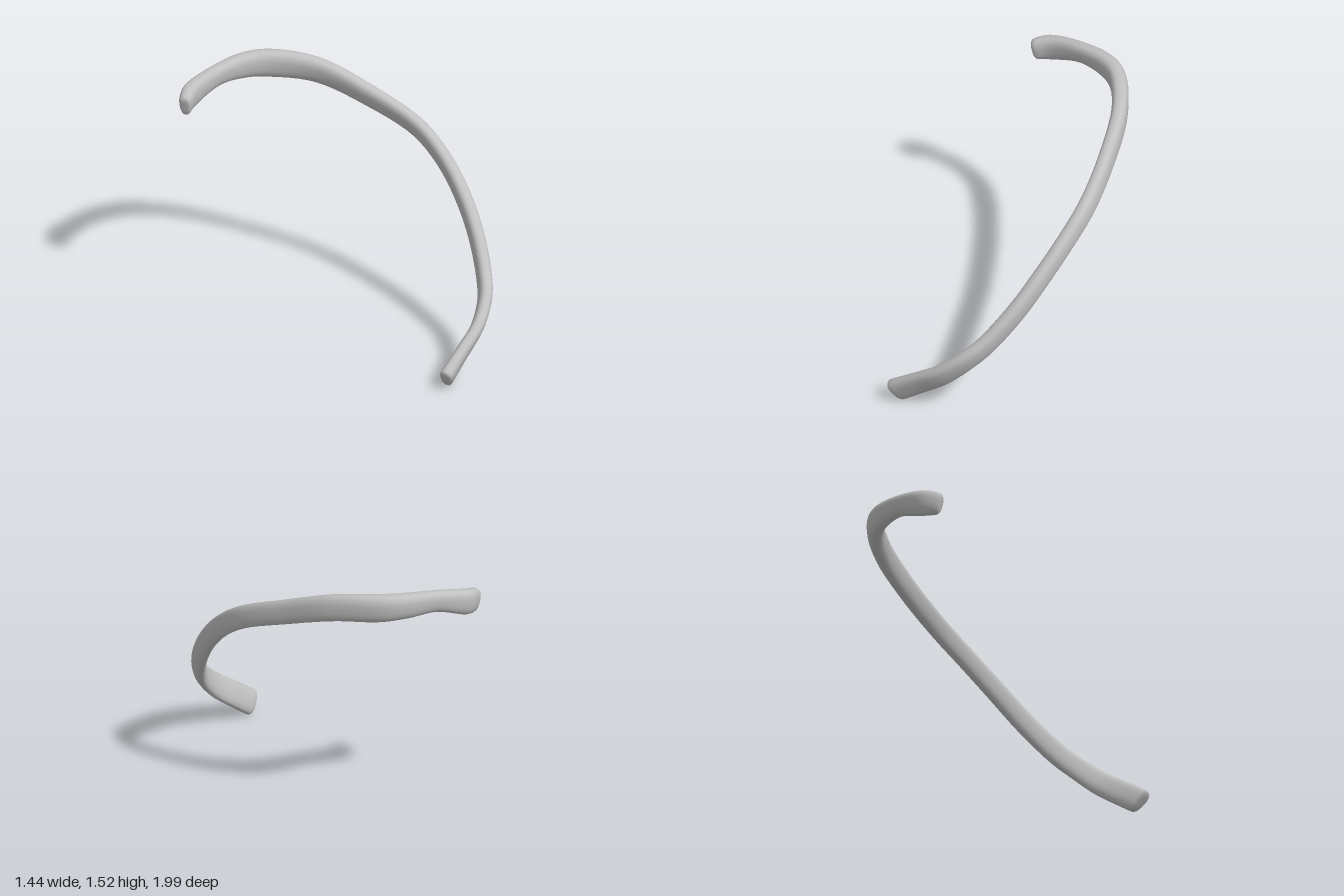
import * as THREE from 'three';

// Stations along the bone: x, y, z, height, thickness, tilt of the height axis (degrees)
const stations = [
  [-0.69, 1.37, -0.775, 0.14, 0.075, 0],
  [-0.61, 1.395, -0.85, 0.16, 0.095, 0],
  [-0.4, 1.452, -0.912, 0.135, 0.09, 0],
  [-0.2, 1.46, -0.942, 0.16, 0.1, 0],
  [-0.05, 1.453, -0.915, 0.175, 0.105, 0],
  [0.2, 1.42, -0.75, 0.165, 0.095, 8],
  [0.42, 1.31, -0.48, 0.15, 0.085, 18],
  [0.59, 1.185, -0.2, 0.14, 0.08, 28],
  [0.652, 1.06, 0, 0.135, 0.082, 32],
  [0.677, 0.9, 0.2, 0.135, 0.084, 36],
  [0.67, 0.71, 0.4, 0.14, 0.084, 38],
  [0.62, 0.515, 0.6, 0.145, 0.082, 38],
  [0.57, 0.425, 0.7, 0.15, 0.08, 36],
  [0.46, 0.3, 0.805, 0.16, 0.08, 32],
  [0.31, 0.185, 0.88, 0.165, 0.08, 26],
  [0.175, 0.085, 0.945, 0.165, 0.085, 20],
];

const SIDES = 28;
const STEPS = 150;

function sweepGeometry() {
  const path = new THREE.CatmullRomCurve3(stations.map((s) => new THREE.Vector3(s[0], s[1], s[2])));
  const form = new THREE.CatmullRomCurve3(stations.map((s) => new THREE.Vector3(s[3], s[4], s[5] / 100)));

  // Rings as [position along path, scale, push along tangent]; the ends close with rounded rims
  const rim = [[0, 0.004], [0.45, 0.005], [0.75, 0.003], [0.91, -0.004], [0.98, -0.014]];
  const rings = rim.map(([scale, push]) => [0, scale, -push]);
  for (let i = 2; i <= STEPS - 2; i++) rings.push([i / STEPS, 1, 0]);
  rim.slice().reverse().forEach(([scale, push]) => rings.push([1, scale, push]));

  const positions = [];
  const indices = [];
  const soften = (v) => Math.sign(v) * Math.pow(Math.abs(v), 0.82);
  rings.forEach(([u, scale, push], i) => {
    const tangent = path.getTangent(u);
    const centre = path.getPoint(u).addScaledVector(tangent, push);
    const size = form.getPoint(u);
    const tilt = THREE.MathUtils.degToRad(size.z * 100);
    const up = new THREE.Vector3(0, Math.cos(tilt), Math.sin(tilt));
    up.addScaledVector(tangent, -up.dot(tangent)).normalize();
    const out = new THREE.Vector3().crossVectors(up, tangent);
    for (let j = 0; j < SIDES; j++) {
      const angle = (j / SIDES) * Math.PI * 2;
      const v = soften(Math.sin(angle));
      // Thicker upper edge, thinner lower edge, flatter inner face
      const c = soften(Math.cos(angle)) * (1 + 0.15 * v);
      const p = centre.clone()
        .addScaledVector(out, c * size.y * 0.5 * scale)
        .addScaledVector(up, v * size.x * 0.5 * scale);
      positions.push(p.x, p.y, p.z);
      if (i < rings.length - 1) {
        const k = (j + 1) % SIDES;
        const a = i * SIDES + j, b = i * SIDES + k;
        indices.push(a, b, b + SIDES, a, b + SIDES, a + SIDES);
      }
    }
  });

  const geometry = new THREE.BufferGeometry();
  geometry.setAttribute('position', new THREE.Float32BufferAttribute(positions, 3));
  geometry.setIndex(indices);
  geometry.computeVertexNormals();
  return geometry;
}

export function createModel() {
  const group = new THREE.Group();
  group.name = 'rib';
  const bone = new THREE.MeshStandardMaterial({ color: 0xc0c0c0 });
  bone.name = 'bone grey';
  const shaft = new THREE.Mesh(sweepGeometry(), bone);
  shaft.name = 'ribBone';
  group.add(shaft);
  return group;
}
